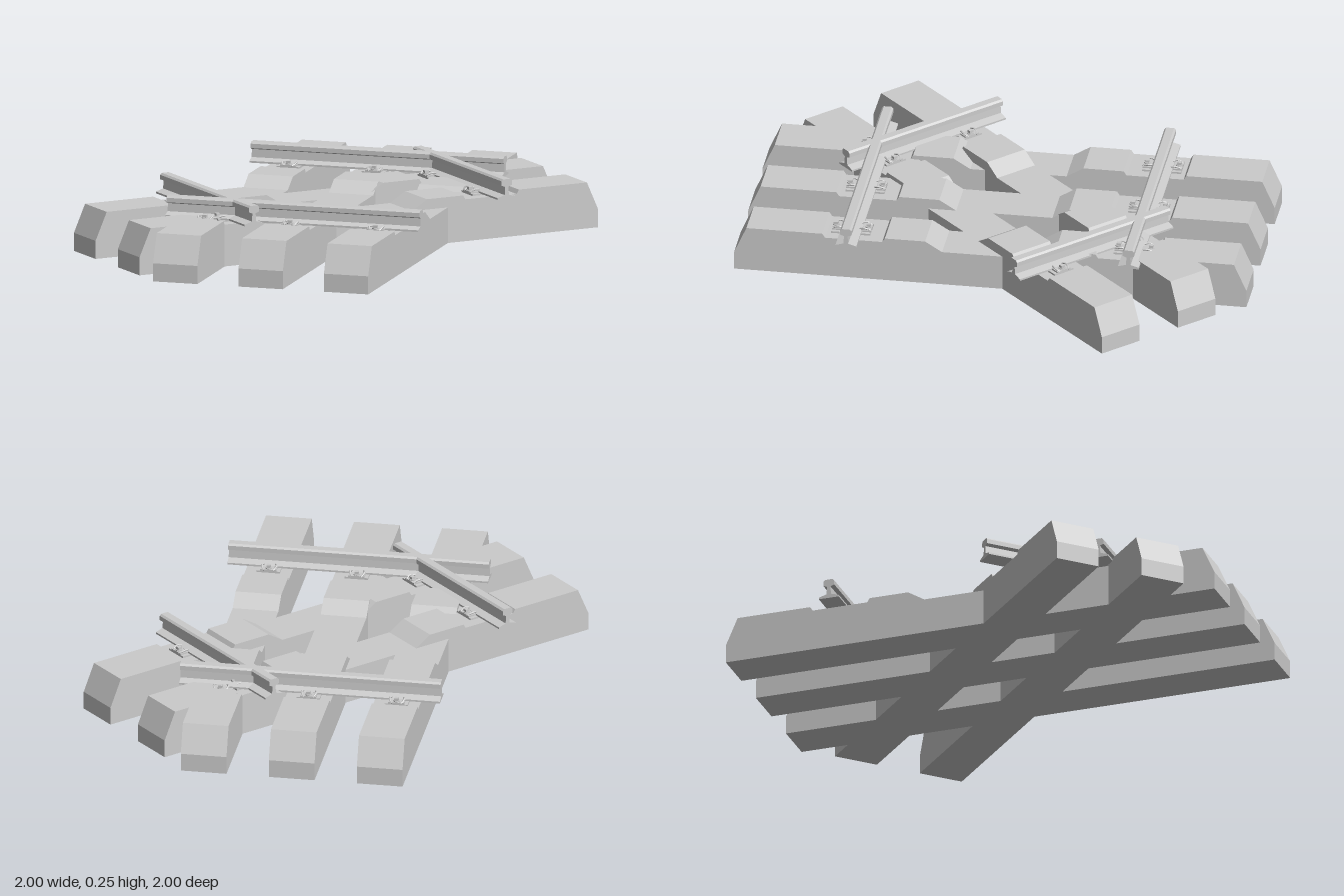
import * as THREE from 'three';

const material = new THREE.MeshStandardMaterial({ color: 0xcccccc, flatShading: true });

const HALF = 0.985;      // half length of a sleeper
const WIDTH = 0.176;     // sleeper width
const GAUGE = 0.543;     // rail distance from the track axis
const SEAT = 0.162;      // height of the rail seat

function mesh(name, geometry, x = 0, y = 0, z = 0) {
  const m = new THREE.Mesh(geometry, material);
  m.name = name;
  m.position.set(x, y, z);
  return m;
}

// Extrudes a closed outline along z, centred on z = 0
function prism(points, depth) {
  const shape = new THREE.Shape(points.map(([x, y]) => new THREE.Vector2(x, y)));
  const g = new THREE.ExtrudeGeometry(shape, { depth, bevelEnabled: false });
  return g.translate(0, 0, -depth / 2);
}

// Closes a right-hand half profile (listed bottom to top) with its mirror image
const mirrored = half => [...half, ...half.map(([x, y]) => [-x, y]).reverse()];

// Sleeper side profile: sloped end, high shoulder, sunk seat, block, low middle
const sleeperGeometry = prism(mirrored([
  [HALF, 0], [HALF, 0.07], [HALF - 0.048, 0.178], [0.645, 0.178], [0.635, SEAT],
  [0.415, SEAT], [0.405, 0.178], [0.25, 0.178], [0.185, 0.138],
]), WIDTH);

// Rail section: foot, thin web and chamfered head
const railProfile = mirrored([
  [0.04, 0.168], [0.04, 0.175], [0.009, 0.184], [0.007, 0.215],
  [0.022, 0.221], [0.022, 0.238], [0.015, 0.245],
]);

// Bent spring clip beside the rail foot
const clipCurve = new THREE.CatmullRomCurve3([
  [0.032, 0.178, -0.022], [0.052, 0.182, -0.028], [0.074, 0.172, -0.018],
  [0.06, 0.174, 0], [0.074, 0.172, 0.018], [0.052, 0.182, 0.028], [0.032, 0.178, 0.022],
].map(p => new THREE.Vector3(...p)));
const clipGeometry = new THREE.TubeGeometry(clipCurve, 18, 0.0035, 5, false);
const plateGeometry = new THREE.BoxGeometry(0.15, 0.008, 0.09);
const guideGeometry = new THREE.BoxGeometry(0.034, 0.008, 0.062);
const washerGeometry = new THREE.CylinderGeometry(0.013, 0.013, 0.004, 10);
const boltGeometry = new THREE.BoxGeometry(0.016, 0.012, 0.016);

// Base plate with a guide, clip and bolt on both sides of the rail
function createFastening(x, z) {
  const group = new THREE.Group();
  group.name = 'railFastening';
  group.position.set(x, 0, z);
  group.add(mesh('basePlate', plateGeometry, 0, SEAT + 0.003, 0));
  for (const side of [-1, 1]) {
    const half = new THREE.Group();
    half.name = 'clipAssembly';
    half.rotation.y = side > 0 ? 0 : Math.PI;
    half.add(
      mesh('guidePlate', guideGeometry, 0.058, 0.171, 0),
      mesh('springClip', clipGeometry),
      mesh('washer', washerGeometry, 0.062, 0.178, 0),
      mesh('bolt', boltGeometry, 0.062, 0.184, 0),
    );
    group.add(half);
  }
  return group;
}

// One piece of track: sleepers across x, rails along z
function createTrack(name, sleeperOffsets, railLength) {
  const track = new THREE.Group();
  track.name = name;
  for (const z of sleeperOffsets) {
    track.add(mesh('sleeper', sleeperGeometry, 0, 0, z));
    for (const side of [-1, 1]) track.add(createFastening(side * GAUGE, z));
  }
  const railGeometry = prism(railProfile, railLength);
  for (const side of [-1, 1]) track.add(mesh('rail', railGeometry, side * GAUGE));
  return track;
}

export function createModel() {
  const model = new THREE.Group();
  model.name = 'trackCrossing';

  const straight = createTrack('straightTrack', [-0.178, 0.178], 0.72);
  straight.position.x = -0.008;

  const diagonal = createTrack('diagonalTrack', [-0.339, 0, 0.339], 1.004);
  diagonal.rotation.y = Math.PI / 4;
  diagonal.position.set(-0.003, 0, -0.003);

  model.add(straight, diagonal);
  return model;
}
